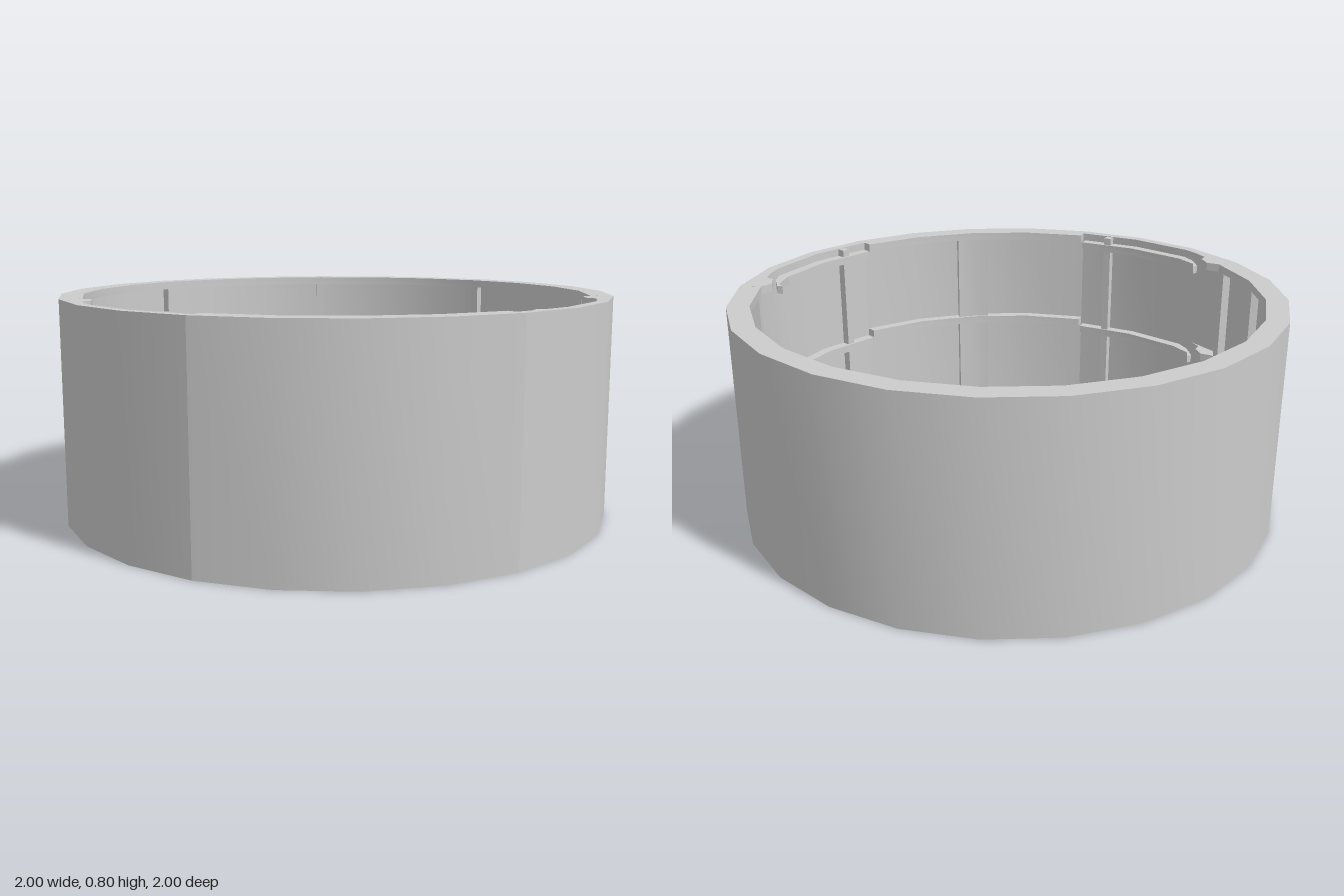
import * as THREE from 'three';
import { toCreasedNormals } from 'three/addons/utils/BufferGeometryUtils.js';

const STEP = 15;          // 24-sided plan
const HEIGHT = 0.8;
const RIB = 0.03;         // rib thickness
const R_OUT = 1, R_SKIN = 0.96, R_IN = 0.92;
const rad = THREE.MathUtils.degToRad;
const material = new THREE.MeshStandardMaterial({ color: 0xcccccc });

// Point [x, z] on the 24-sided outline; angle in degrees from +z towards +x
function onRing(deg, r) {
  const off = ((deg % STEP) + STEP) % STEP - STEP / 2;
  const d = r * Math.cos(rad(STEP / 2)) / Math.cos(rad(off));
  return [d * Math.sin(rad(deg)), d * Math.cos(rad(deg))];
}

// Outline of a ring sector
function sector(from, to, rIn, rOut) {
  const angles = [from];
  for (let a = Math.floor(from / STEP + 1) * STEP; a < to - 0.01; a += STEP) angles.push(a);
  angles.push(to);
  return [
    ...angles.map(a => onRing(a, rOut)),
    ...angles.reverse().map(a => onRing(a, rIn)),
  ];
}

// Raises a plan outline of [x, z] points from y0 to y1; side mirrors it in x
function slab(parent, name, points, y0, y1, side = 1) {
  const shape = new THREE.Shape(points.map(([x, z]) => new THREE.Vector2(x * side, -z)));
  const geometry = new THREE.ExtrudeGeometry(shape, { depth: y1 - y0, bevelEnabled: false });
  geometry.rotateX(-Math.PI / 2);
  geometry.translate(0, y0, 0);
  const mesh = new THREE.Mesh(toCreasedNormals(geometry, 0.4), material);
  mesh.name = name;
  parent.add(mesh);
}

// Upright square stud on the inner face
function stud(parent, name, deg, r) {
  const mesh = new THREE.Mesh(new THREE.BoxGeometry(0.03, HEIGHT - 0.004, 0.035), material);
  mesh.position.set(r * Math.sin(rad(deg)), HEIGHT / 2, r * Math.cos(rad(deg)));
  mesh.rotation.y = rad(deg);
  mesh.name = name;
  parent.add(mesh);
}

export function createModel() {
  const model = new THREE.Group();
  model.name = 'ringEnclosure';
  const seam = 65.6, doorEdge = 30, jamb = 75;
  const ribLevels = [0, HEIGHT / 2 - RIB / 2, HEIGHT - RIB];
  const doorLevels = [RIB, HEIGHT / 2 - RIB * 1.5, HEIGHT - RIB * 2];

  // Fixed outer walls
  slab(model, 'rearWall', sector(seam, 360 - seam, R_SKIN, R_OUT), 0, HEIGHT);
  slab(model, 'frontWall', sector(-doorEdge, doorEdge, R_SKIN, R_OUT), 0, HEIGHT);

  // Bottom, middle and top ribs of the fixed walls
  for (const y of ribLevels) {
    slab(model, 'rearRib', sector(jamb, 360 - jamb, R_IN, R_SKIN), y, y + RIB);
    slab(model, 'frontRib', sector(-doorEdge, doorEdge, R_IN, R_SKIN), y, y + RIB);
  }

  // Upright studs
  for (const a of [90, 135, 180, 225, 270]) stud(model, 'wallStud', a, 0.945);
  slab(model, 'frontPost', sector(-4, 4, 0.93, R_SKIN), 0.002, HEIGHT - 0.002);

  // Hinge lug on the fixed rib and the curved arm of the door rib
  const lug = [[0.93, 0.25], [0.89, 0.24], [0.85, 0.27], [0.848, 0.33],
    [0.872, 0.36], [0.86, 0.4], [0.868, 0.42], [0.9, 0.4]];
  const arm = [[0.83, 0.48], [0.797, 0.46], [0.828, 0.37], [0.815, 0.33],
    [0.835, 0.34], [0.842, 0.42]];

  for (const side of [1, -1]) {
    const door = new THREE.Group();
    door.name = side > 0 ? 'leftDoor' : 'rightDoor';
    model.add(door);

    slab(door, 'doorPanel', sector(doorEdge, seam, R_SKIN, R_OUT), 0, HEIGHT, side);
    for (const y of doorLevels) {
      slab(door, 'doorRib', sector(doorEdge + 0.5, 60, R_IN, R_SKIN), y, y + RIB, side);
      slab(door, 'hingeArm', arm, y, y + RIB, side);
    }
    stud(door, 'doorStud', side * 37.6, 0.937);

    for (const y of ribLevels) slab(model, 'hingeLug', lug, y, y + RIB, side);
    stud(model, 'jambStud', side * 76, 0.94);
  }
  return model;
}
